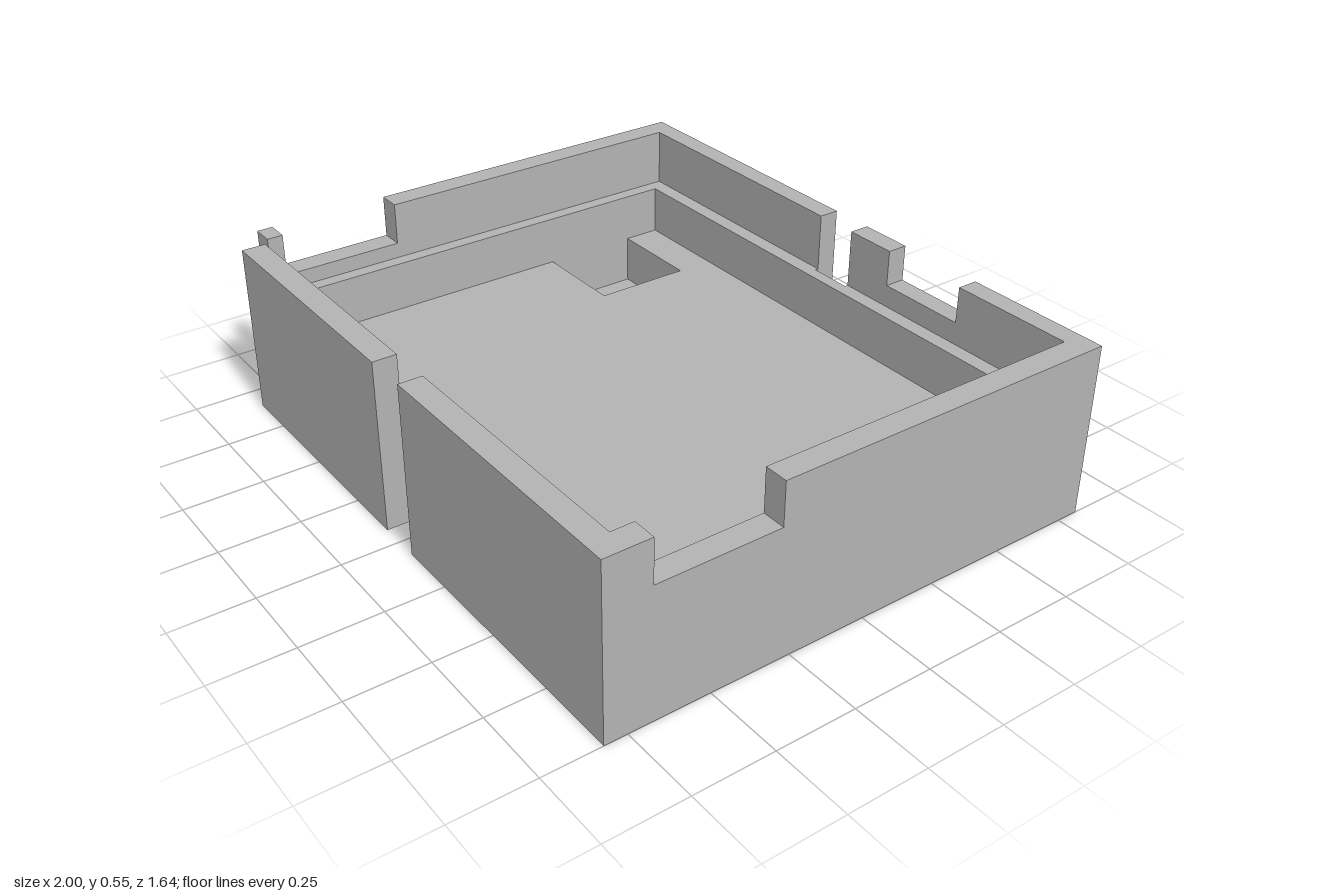
import * as THREE from 'three';

const grey = new THREE.MeshStandardMaterial({ color: 0xb2b2b2 });
grey.name = 'grey plastic';

// Heights
const POCKET = 0.04, FLOOR = 0.2, LEDGE = 0.36, SIDE_CUT = 0.41, BACK_CUT = 0.43, TOP = 0.545;

// Plan points are [x, z]
const rect = (x0, x1, z0, z1) => [[x0, z1], [x1, z1], [x1, z0], [x0, z0]];
const toVectors = (pts) => pts.map(([x, z]) => new THREE.Vector2(x, -z));

// Horizontal face with optional holes
function flat(pts, y, holes = [], down = false) {
  const shape = new THREE.Shape(toVectors(pts));
  shape.holes = holes.map((h) => new THREE.Path(toVectors(h)));
  const g = new THREE.ShapeGeometry(shape).rotateX(-Math.PI / 2).translate(0, y, 0);
  if (down) {
    g.index.array.reverse();
    g.computeVertexNormals();
  }
  return g;
}

// Vertical band around a plan outline, facing outward or inward
function band(pts, y0, y1, inward = false) {
  let v = toVectors(pts);
  if (THREE.ShapeUtils.isClockWise(v) !== inward) v = v.reverse();
  const pos = [];
  v.forEach((a, i) => {
    const b = v[(i + 1) % v.length];
    pos.push(a.x, y0, -a.y, b.x, y0, -b.y, b.x, y1, -b.y);
    pos.push(a.x, y0, -a.y, b.x, y1, -b.y, a.x, y1, -a.y);
  });
  const g = new THREE.BufferGeometry();
  g.setAttribute('position', new THREE.Float32BufferAttribute(pos, 3));
  g.computeVertexNormals();
  return g;
}

export function createModel() {
  const model = new THREE.Group();
  model.name = 'openEnclosure';
  const add = (name, ...geometries) => {
    const part = new THREE.Group();
    part.name = name;
    geometries.forEach((g) => {
      const m = new THREE.Mesh(g, grey);
      m.name = name;
      part.add(m);
    });
    model.add(part);
  };

  // Outer plan with the front and back slots and the clipped front corner
  const outline = [
    [-0.9, 0.82], [-0.07, 0.82], [-0.07, 0.745], [0.07, 0.745], [0.07, 0.82], [1, 0.82],
    [1, -0.82], [0.07, -0.82], [0.07, -0.745], [-0.07, -0.745], [-0.07, -0.82], [-1, -0.82],
    [-1, 0.725], [-0.9, 0.725],
  ];
  const recess = rect(-0.88, 0.88, -0.705, 0.705);
  const sides = [-1, 1];
  const holes = sides.map((s) => rect(s * 0.725 - 0.037, s * 0.725 + 0.037, -0.465, -0.39));
  const pockets = sides.map((s) => rect(s * 0.725 - 0.155, s * 0.725 + 0.155, -0.585, -0.27));

  // Base block and ledge
  add('baseBottom', flat(outline, 0, holes, true));
  add('baseSides', band(outline, 0, LEDGE));
  add('ledge', flat(outline, LEDGE, [recess]), band(recess, FLOOR, LEDGE, true));

  // Floor, cut away around the two pockets
  add('floor', flat([
    [-0.88, 0.705], [0.88, 0.705], [0.88, -0.27], [0.57, -0.27], [0.57, -0.585], [0.88, -0.585],
    [0.88, -0.705], [-0.88, -0.705], [-0.88, -0.585], [-0.57, -0.585], [-0.57, -0.27], [-0.88, -0.27],
  ], FLOOR));

  // Pockets with square through-holes
  pockets.forEach((p, i) => {
    add('cornerPocket', flat(p, POCKET, [holes[i]]), band(p, POCKET, FLOOR, true));
    add('screwHole', band(holes[i], 0, POCKET, true));
  });

  // Upper walls, in sections of different height
  const wall = (name, pts, top) => add(name, band(pts, LEDGE, top), flat(pts, top));
  wall('frontWallRight', rect(-0.9, -0.07, 0.745, 0.82), TOP);
  wall('frontWallLeft', [[0.07, 0.82], [1, 0.82], [1, 0.675], [0.925, 0.675], [0.925, 0.745], [0.07, 0.745]], TOP);
  wall('rightWallEnd', rect(-1, -0.927, 0.675, 0.725), TOP);
  sides.forEach((s) => {
    wall('sideWallCutout', rect(s * 0.9625 - 0.0375, s * 0.9625 + 0.0375, 0.29, 0.675), SIDE_CUT);
    const end = s < 0 ? 0.07 : 0.53;
    wall('backCornerWall', [
      [s, 0.29], [s, -0.82], [s * end, -0.82], [s * end, -0.755], [s * 0.925, -0.755], [s * 0.925, 0.29],
    ], TOP);
  });
  wall('backWallCutout', rect(0.24, 0.53, -0.82, -0.755), BACK_CUT);
  wall('backWallPost', rect(0.07, 0.24, -0.82, -0.755), TOP);

  return model;
}
